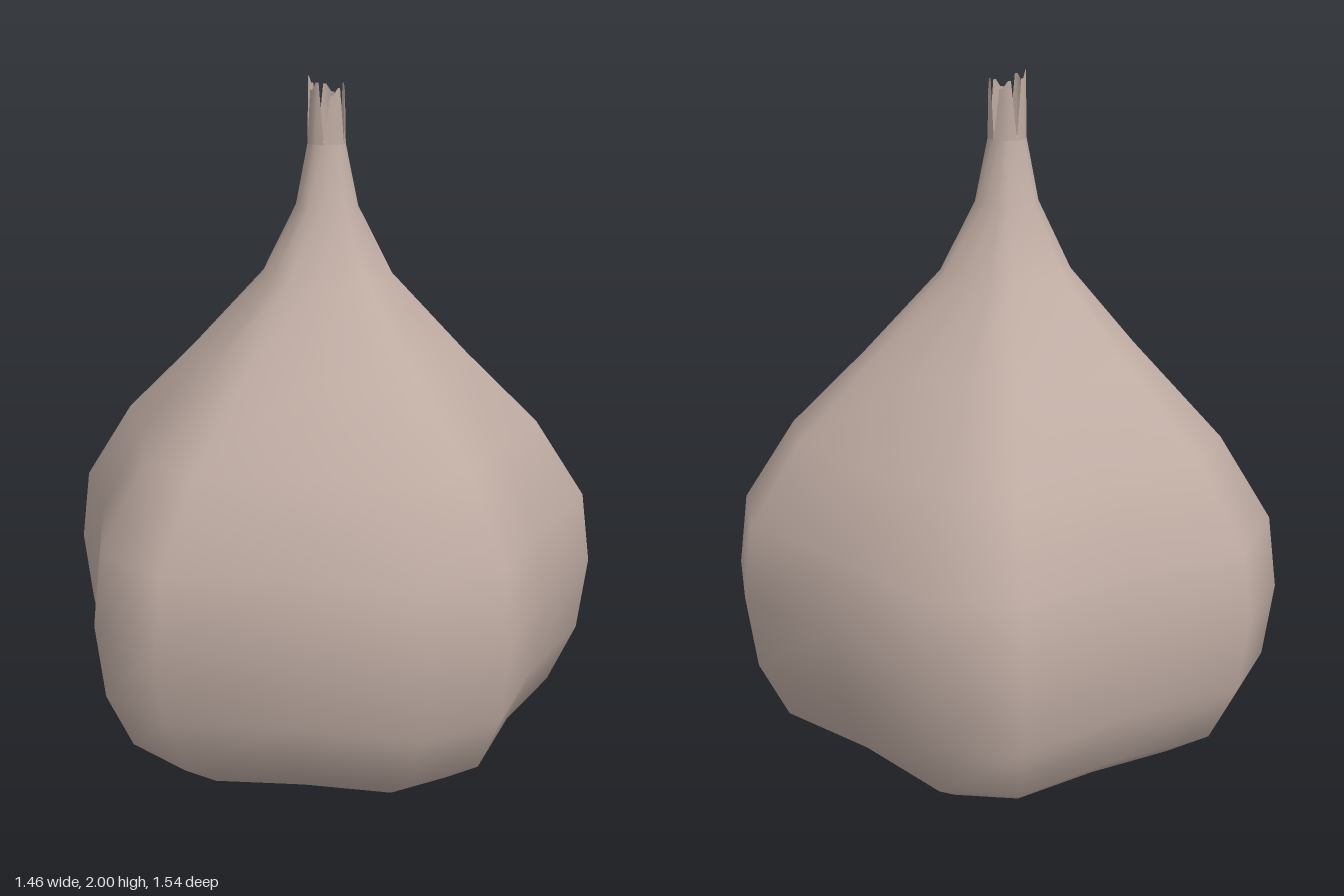
import * as THREE from 'three';

const CX = 0.043; // the bulb's axis sits slightly off centre
const LOBES = 5;

// Point on the axis-centred polar grid
const polar = (r, deg, y) => {
  const a = THREE.MathUtils.degToRad(deg);
  return [CX + r * Math.cos(a), y, r * Math.sin(a)];
};

// Skin joining closed rings of equal point count, listed from bottom to top
function loft(rings) {
  const n = rings[0].length;
  const index = [];
  for (let j = 0; j < rings.length - 1; j++) {
    for (let i = 0; i < n; i++) {
      const a = j * n + i, b = j * n + (i + 1) % n;
      index.push(a, a + n, b, b, a + n, b + n);
    }
  }
  const geo = new THREE.BufferGeometry();
  geo.setAttribute('position', new THREE.Float32BufferAttribute(rings.flat(2), 3));
  geo.setIndex(index);
  geo.computeVertexNormals();
  return geo;
}

// One ring: a valley and two shoulder points for every clove
function cloveRing([y, r, valley]) {
  const ring = [];
  for (let k = 0; k < LOBES; k++) {
    const a = k * 72;
    ring.push(polar(r * valley, a, y), polar(r, a + 26.8, y), polar(r, a + 45.2, y));
  }
  return ring;
}

export function createModel() {
  const group = new THREE.Group();
  group.name = 'garlicBulb';
  const skin = new THREE.MeshStandardMaterial({ color: 0xbfaca3, side: THREE.DoubleSide });
  skin.name = 'papery skin';

  const add = (name, geo) => {
    const mesh = new THREE.Mesh(geo, skin);
    mesh.name = name;
    group.add(mesh);
  };

  // Bulb: height, shoulder radius, valley depth ratio
  const profile = [
    [0.04, 0.15, 1], [0.04, 0.2, 0.96], [0.067, 0.385, 0.9], [0.118, 0.54, 0.87],
    [0.21, 0.672, 0.86], [0.38, 0.752, 0.86], [0.595, 0.779, 0.86], [0.8, 0.752, 0.86],
    [1.025, 0.607, 0.88], [1.23, 0.4, 0.91], [1.46, 0.185, 0.94], [1.65, 0.088, 0.97],
    [1.82, 0.053, 1],
  ];
  add('bulb', loft(profile.map(cloveRing)));

  // Root plate: a short five-sided stub
  const stub = new THREE.CylinderGeometry(0.172, 0.138, 0.045, 5).toNonIndexed();
  stub.rotateY(Math.PI / 2);
  stub.translate(CX + 0.01, 0.0225, 0);
  stub.computeVertexNormals();
  add('rootPlate', stub);

  // Torn stem tips: five strips rising from the neck with gaps between them
  const tipHeights = [1.98, 1.97, 1.985, 2, 1.975];
  tipHeights.forEach((top, k) => {
    const a = k * 72;
    const low = [0, 26.8, 45.2, 72].map((d, i) => polar(0.053, a + d, 1.82));
    const high = [18, 28, 44, 54].map((d, i) => polar(0.05, a + d, top - (i > 1 ? 0.02 : 0)));
    const pos = [...low, ...high].flat();
    const geo = new THREE.BufferGeometry();
    geo.setAttribute('position', new THREE.Float32BufferAttribute(pos, 3));
    geo.setIndex([0, 1, 2].flatMap((i) => [i, i + 4, i + 1, i + 1, i + 4, i + 5]));
    geo.computeVertexNormals();
    add('stemTip', geo);
  });

  // Floor closing the neck between the tips
  const floor = new THREE.CircleGeometry(0.052, 15);
  floor.rotateX(-Math.PI / 2);
  floor.translate(CX, 1.82, 0);
  add('neckFloor', floor);

  return group;
}
